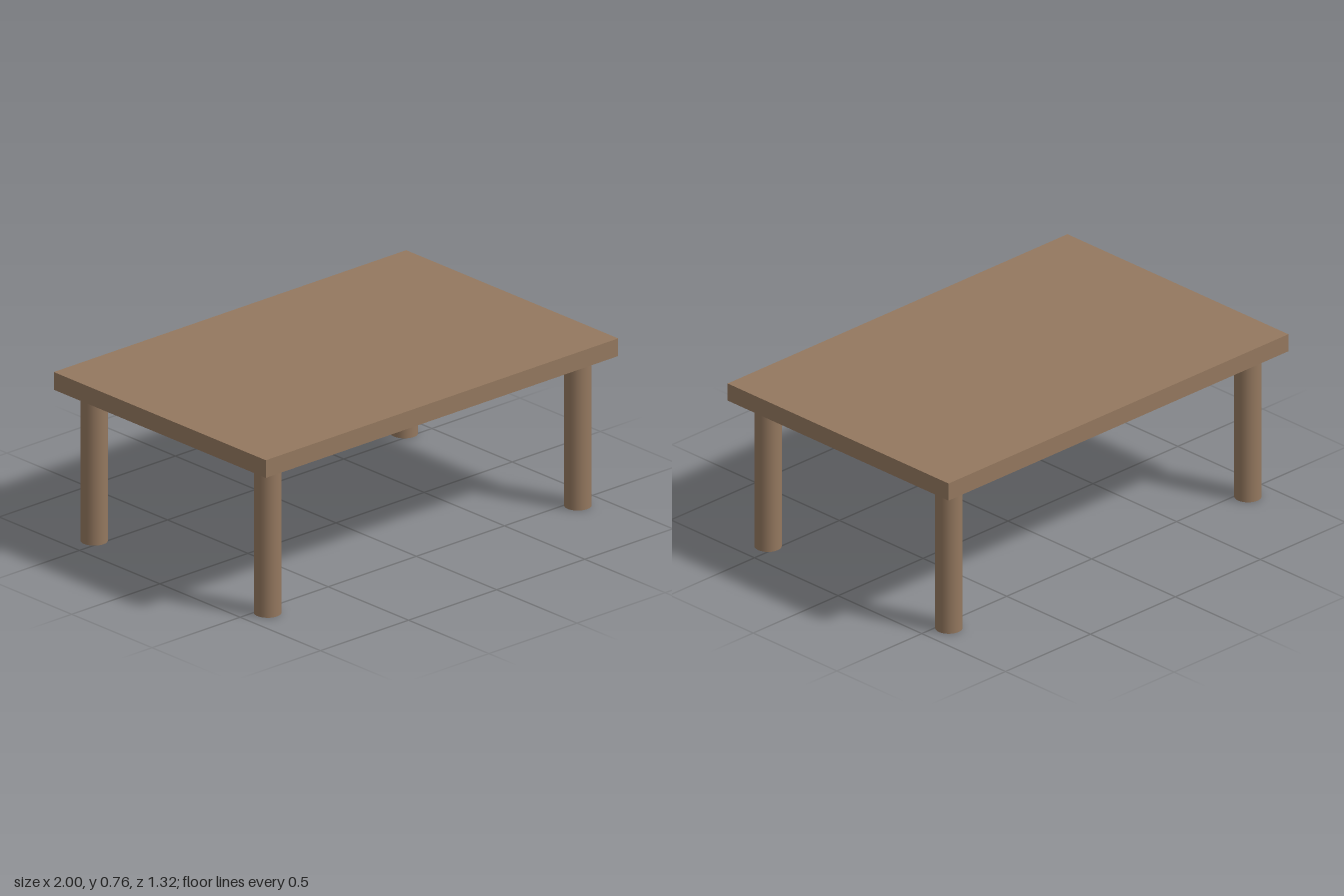
import * as THREE from 'three';

export function createModel() {
  const model = new THREE.Group();
  model.name = 'table';
  const wood = new THREE.MeshStandardMaterial({ color: 0x94785f });

  const legHeight = 0.68, topThickness = 0.08;

  // Flat rectangular slab
  const top = new THREE.Mesh(new THREE.BoxGeometry(2, topThickness, 1.32), wood);
  top.name = 'tableTop';
  top.position.y = legHeight + topThickness / 2;
  model.add(top);

  // Four round legs, one near each corner
  const legGeometry = new THREE.CylinderGeometry(0.058, 0.058, legHeight, 24);
  for (const [endName, z] of [['front', 0.54], ['back', -0.54]]) {
    for (const [sideName, x] of [['Left', 0.88], ['Right', -0.88]]) {
      const leg = new THREE.Mesh(legGeometry, wood);
      leg.name = `${endName}${sideName}Leg`;
      leg.position.set(x, legHeight / 2, z);
      model.add(leg);
    }
  }
  return model;
}
